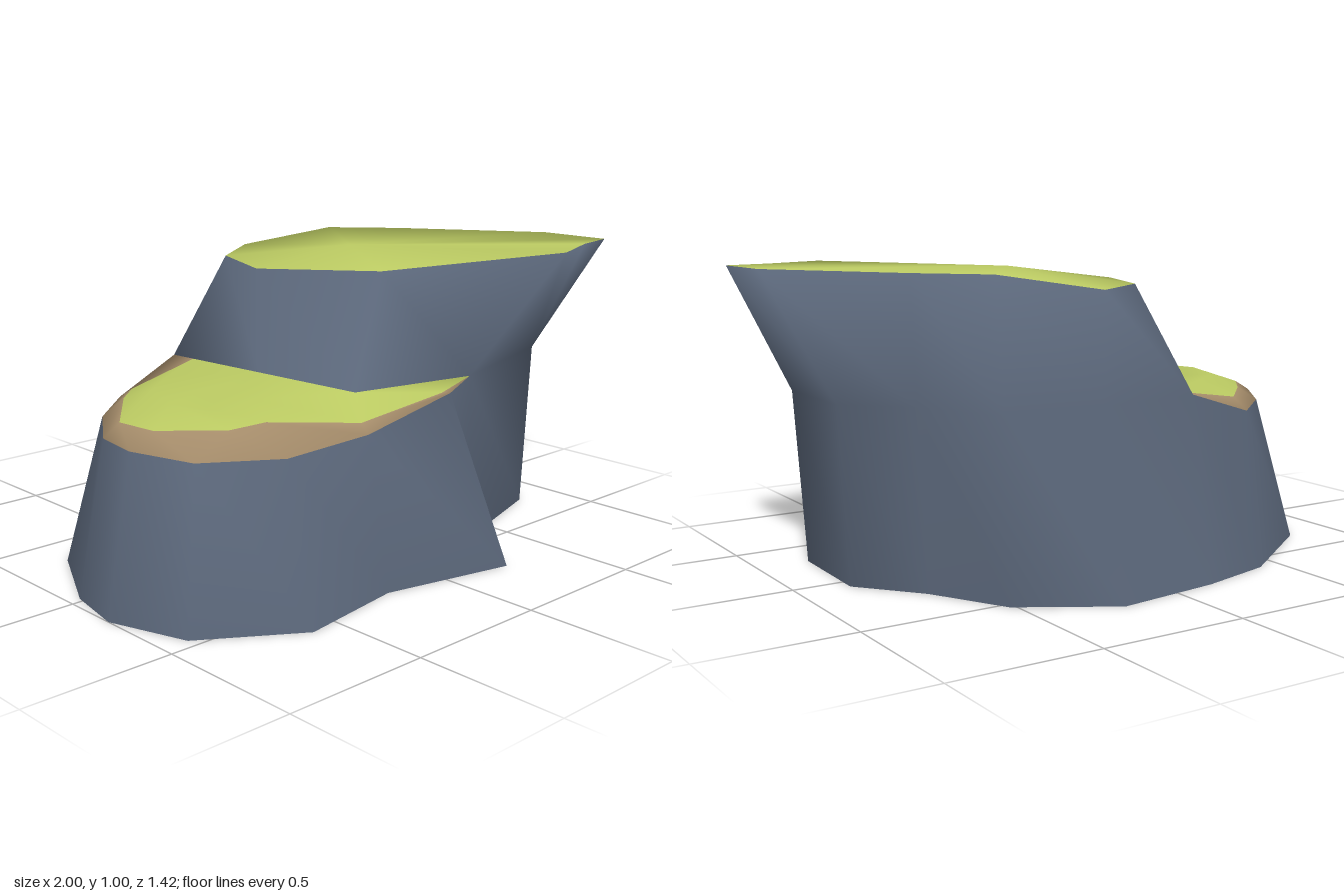
import * as THREE from 'three';

export function createModel() {
  const group = new THREE.Group();
  group.name = 'steppedCliff';

  const material = (name, color) => {
    const m = new THREE.MeshStandardMaterial({ color, side: THREE.DoubleSide });
    m.name = name;
    return m;
  };
  const rock = material('slateRock', 0x5a6679);
  const grass = material('grass', 0xbbca62);
  const dirt = material('dirt', 0xa68d6b);

  // Shared points, so that shading runs smoothly over every part
  const positions = [];
  const point = (x, y, z) => positions.push(x, y, z) / 3 - 1;
  const loop = (y, pairs) => pairs.map(([x, z]) => point(x, y, z));

  // Joins an outer/lower line to an inner/upper line (clockwise from above)
  const strip = (a, b, closed) => {
    const index = [];
    const tri = (p, q, r) => { if (p !== q && q !== r && p !== r) index.push(p, q, r); };
    const n = a.length;
    for (let i = 0; i < (closed ? n : n - 1); i++) {
      const j = (i + 1) % n;
      tri(a[i], b[i], b[j]);
      tri(a[i], b[j], a[j]);
    }
    return index;
  };
  // Fills a line of points from one centre point
  const fan = (centre, line, closed) => strip(line, line.map(() => centre), closed);

  // Foot of the cliff
  const foot = loop(0, [
    [0.32, 0.46], [0.24, 0.71], [-0.22, 0.605], [-0.6, 0.665], [-0.91, 0.46],
    [-1, 0.19], [-0.96, -0.02], [-0.8, -0.33], [-0.42, -0.6], [-0.15, -0.67],
    [0.22, -0.715], [0.52, -0.53], [0.66, -0.27], [0.83, -0.06], [0.82, 0.3],
  ]);

  // Rim of the low ledge, and the waist of the tall part
  const frontNotch = point(0.33, 0.59, 0.45);
  const frontLip = point(0.1, 0.59, 0.565);
  const ledgeRim = loop(0.5, [
    [-0.22, 0.51], [-0.58, 0.53], [-0.81, 0.38], [-0.875, 0.15],
    [-0.85, -0.02], [-0.7, -0.24], [-0.5, -0.42],
  ]);
  const backNotch = point(-0.2, 0.59, -0.5);
  const waist = loop(0.59, [
    [0.19, -0.555], [0.54, -0.545], [0.68, -0.25], [0.865, -0.07], [0.86, 0.3],
  ]);
  const ledge = [frontNotch, frontLip, ...ledgeRim, backNotch];
  const lowerWall = strip(foot, [...ledge, ...waist], true);

  // Upper wall, from the ledge to the summit rim
  const stepCorner = point(-0.12, 0.59, 0.35);
  const stepMiddle = point(-0.16, 0.59, -0.08);
  const base = [frontNotch, stepCorner, stepMiddle, backNotch, ...waist, waist[4]];
  const summit = [
    point(0.62, 1, 0.615),
    ...loop(0.95, [[0.1, 0.25], [-0.165, -0.08], [-0.05, -0.38], [0.19, -0.555]]),
    ...loop(1, [[0.5, -0.42], [0.68, -0.22], [0.99, 0.24], [1, 0.5], [0.84, 0.53]]),
  ];
  const upperWall = strip(base, summit, true);
  const summitGrass = fan(point(0.22, 1, -0.03), summit, true);

  // Dirt band around the ledge, then the grass inside it
  const grassEdge = [
    frontNotch,
    point(0.1, 0.585, 0.53), point(-0.2, 0.525, 0.46), point(-0.5, 0.56, 0.345),
    point(-0.63, 0.555, 0.325), point(-0.77, 0.54, 0.13), point(-0.78, 0.537, -0.03),
    point(-0.62, 0.55, -0.23), point(-0.5, 0.54, -0.35), point(-0.19, 0.59, -0.4),
  ];
  const crown = loop(0.59, [[-0.42, 0.2], [-0.6, 0.18], [-0.64, 0.05], [-0.58, -0.13], [-0.42, -0.25]]);
  const crownLine = [
    frontNotch, stepCorner, stepCorner, crown[0], crown[1],
    crown[2], crown[2], crown[3], crown[4], grassEdge[9],
  ];
  const dirtBand = strip(ledge, grassEdge);
  const ledgeGrass = [
    ...strip(grassEdge, crownLine),
    ...fan(stepMiddle, [stepCorner, ...crown, grassEdge[9]]),
  ];

  // Smooth normals over the whole surface, shared by each part
  const whole = new THREE.BufferGeometry();
  whole.setAttribute('position', new THREE.Float32BufferAttribute(positions, 3));
  whole.setIndex([...lowerWall, ...upperWall, ...summitGrass, ...dirtBand, ...ledgeGrass]);
  whole.computeVertexNormals();

  const add = (name, index, mat) => {
    const g = new THREE.BufferGeometry();
    g.setAttribute('position', whole.attributes.position);
    g.setAttribute('normal', whole.attributes.normal);
    g.setIndex(index);
    const mesh = new THREE.Mesh(g, mat);
    mesh.name = name;
    group.add(mesh);
  };
  add('lowerCliffWall', lowerWall, rock);
  add('upperCliffWall', upperWall, rock);
  add('summitGrass', summitGrass, grass);
  add('ledgeDirtBand', dirtBand, dirt);
  add('ledgeGrass', ledgeGrass, grass);

  return group;
}
